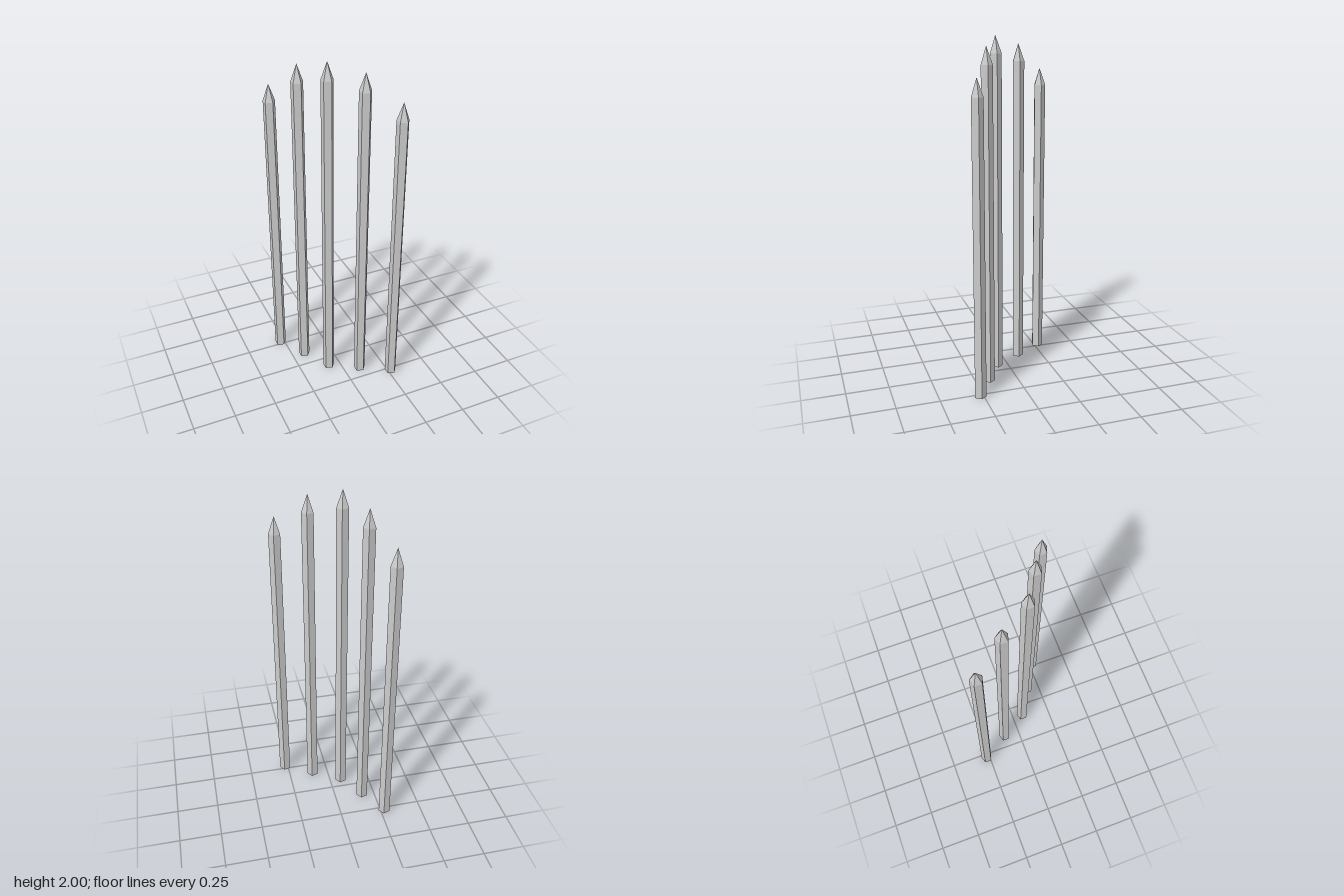
import * as THREE from 'three';

const RADIUS = 0.0355; // corner radius of the five-sided shaft
const TIP = 0.1; // height of the pointed end

// x, z and full height of each stake
const STAKES = [
  [-0.274, -0.27, 1.8],
  [-0.172, -0.101, 1.95],
  [-0.071, 0.067, 2],
  [0.098, 0.169, 1.95],
  [0.267, 0.27, 1.8],
];

// Closed base, straight shaft and pointed tip, with one corner facing +x
function stakeGeometry(height) {
  const profile = [
    [0, 0],
    [RADIUS, 0],
    [RADIUS, height - TIP],
    [0, height],
  ].map(([r, y]) => new THREE.Vector2(r, y));
  return new THREE.LatheGeometry(profile, 5, Math.PI / 2);
}

export function createModel() {
  const model = new THREE.Group();
  model.name = 'stakeRow';
  const material = new THREE.MeshStandardMaterial({ color: 0xcccccc, flatShading: true });

  // Row of stakes, bent at the tallest one
  STAKES.forEach(([x, z, height], i) => {
    const stake = new THREE.Mesh(stakeGeometry(height), material);
    stake.name = `stake${i + 1}`;
    stake.position.set(x, 0, z);
    model.add(stake);
  });
  return model;
}
